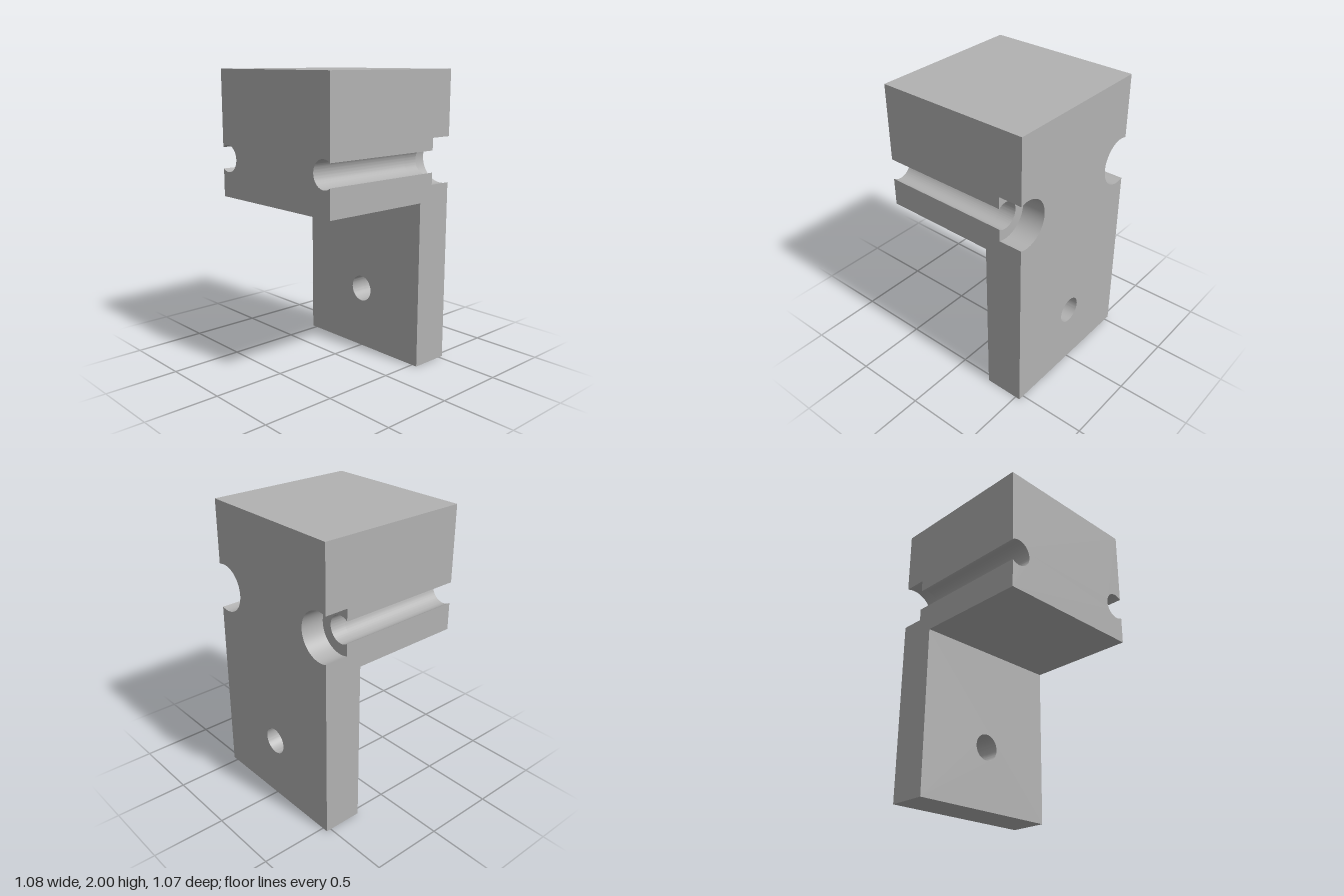
import * as THREE from 'three';
import { toCreasedNormals } from 'three/addons/utils/BufferGeometryUtils.js';

const W = 0.54, TOP = 2, STEP = 1.14;            // half width, top, underside of the head
const FRONT = 0.533, LEDGE = -0.26, SHELF = -0.37, BACK = -0.533;
const BX = 0.484, BY = 1.405, R = 0.092, BORE = 0.165; // side grooves and counterbores
const HOLE_Y = 0.435, SEG = 32;

const halfAngle = r => Math.acos((W - BX) / r);

// Arc of a groove cut into the left (s = 1) or right (s = -1) side
function notch(path, s, r, inward = true) {
  const mid = s > 0 ? 0 : Math.PI, a = halfAngle(r) * (inward ? 1 : -1);
  path.absarc(s * BX, BY, r, mid - a, mid + a, inward);
}

// Cross-section with a groove on each side and an optional mounting hole
function profile(bottom, r, hole) {
  const s = new THREE.Shape();
  s.moveTo(-W, bottom).lineTo(W, bottom);
  notch(s, 1, r);
  s.lineTo(W, TOP).lineTo(-W, TOP);
  notch(s, -1, r);
  s.closePath();
  if (hole) addHole(s);
  return s;
}

function addHole(shape) {
  shape.holes.push(new THREE.Path().absarc(0, HOLE_Y, R, 0, Math.PI * 2, true));
}

export function createModel() {
  const group = new THREE.Group();
  const grey = new THREE.MeshStandardMaterial({ color: 0xb2b2b2 });
  grey.name = 'grey';

  const add = (name, geometry) => {
    const mesh = new THREE.Mesh(geometry, grey);
    mesh.name = name;
    group.add(mesh);
  };

  // Side walls only, from z0 to z1
  const walls = (name, shape, z0, z1) => {
    const g = new THREE.ExtrudeGeometry(shape, { depth: z1 - z0, bevelEnabled: false, curveSegments: SEG });
    const { start, count } = g.groups[1];
    const out = new THREE.BufferGeometry();
    const p = g.attributes.position.array.slice(start * 3, (start + count) * 3);
    out.setAttribute('position', new THREE.BufferAttribute(p, 3));
    out.translate(0, 0, z0);
    add(name, toCreasedNormals(out, Math.PI / 6));
  };

  // Flat face at z; the sections are symmetric in x, so a half turn faces them back
  const face = (name, shapes, z, back) => {
    const g = new THREE.ShapeGeometry(shapes, SEG);
    if (back) g.rotateY(Math.PI);
    add(name, g.translate(0, 0, z));
  };

  const head = profile(STEP, R, false);
  const plate = profile(0, R, true);
  const bored = profile(0, BORE, true);

  walls('headWalls', head, LEDGE, FRONT);
  walls('plateWalls', plate, SHELF, LEDGE);
  walls('counterboreWalls', bored, BACK, SHELF);

  face('headFront', head, FRONT, false);
  face('backFace', bored, BACK, true);

  // Front of the hanging plate below the head
  const lower = new THREE.Shape();
  lower.moveTo(-W, 0).lineTo(W, 0).lineTo(W, STEP).lineTo(-W, STEP).closePath();
  addHole(lower);
  face('plateFront', lower, LEDGE, false);

  // Seats of the two counterbores
  const seats = [1, -1].map(s => {
    const shape = new THREE.Shape();
    notch(shape, s, BORE);
    notch(shape, s, R, false);
    shape.closePath();
    return shape;
  });
  face('counterboreSeats', seats, SHELF, true);

  return group;
}
